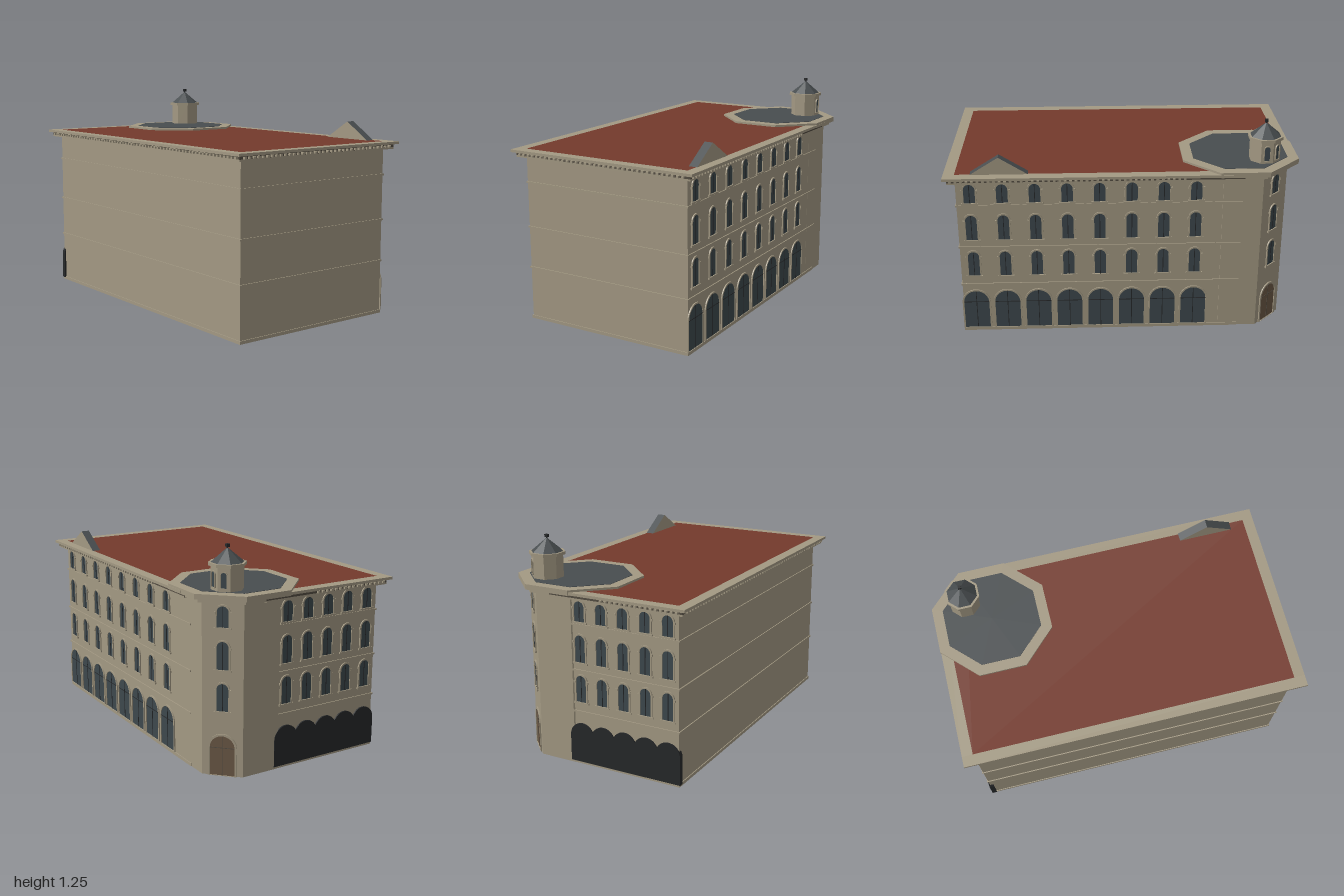
import * as THREE from 'three';

const material = (name, color, side = THREE.FrontSide) => {
  const m = new THREE.MeshStandardMaterial({ color, side });
  m.name = name;
  return m;
};

export function createModel() {
  const stone = material('stone', 0xa39983);
  const slate = material('slate', 0x484d4f);
  const redRoof = material('red roof', 0x743a2c);
  const glass = material('glass', 0x3d484d);
  const dark = material('dark opening', 0x26282a);
  const gap = material('frieze shade', 0x544d42);
  const wood = material('door wood', 0x6b5846);

  const root = new THREE.Group();
  root.name = 'cornerBuilding';
  const W = 0.935, D = 0.52;          // half width and half depth of the walls
  const TX = -0.67, TZ = -0.25;       // centre of the corner tower

  const add = (name, geo, mat, x = 0, y = 0, z = 0, parent = root) => {
    const m = new THREE.Mesh(geo, mat);
    m.name = name;
    m.position.set(x, y, z);
    parent.add(m);
    return m;
  };
  // box given by its limits
  const block = (name, mat, x0, x1, y0, y1, z0, z1, parent = root) =>
    add(name, new THREE.BoxGeometry(x1 - x0, y1 - y0, z1 - z0), mat,
      (x0 + x1) / 2, (y0 + y1) / 2, (z0 + z1) / 2, parent);
  // eight-sided drum with flat sides along the axes; sizes are to the flats
  const octagon = (name, mat, x, z, y0, y1, a0, a1 = a0, parent = root) => {
    const k = 1 / Math.cos(Math.PI / 8);
    const geo = new THREE.CylinderGeometry(a1 * k, a0 * k, y1 - y0, 8).toNonIndexed();
    geo.rotateY(Math.PI / 8);
    geo.computeVertexNormals();
    return add(name, geo, mat, x, (y0 + y1) / 2, z, parent);
  };

  // Open-bottomed shell of four thin walls
  const t = 0.01;
  block('frontWall', stone, -W, W, 0, 0.985, D - t, D);
  block('leftWall', stone, W - t, W, 0, 0.985, -D, D - t);
  block('backWall', stone, TX, W - t, 0, 0.985, -D, -D + t);
  block('rightWall', stone, -W, -W + t, 0, 0.985, TZ, D - t);

  // Horizontal moulding that follows the walls and stops at the tower
  const course = (name, mat, y0, y1, out) => {
    const g = new THREE.Group();
    g.name = name;
    root.add(g);
    block(name + 'Front', mat, -W - out, W + out, y0, y1, D, D + out, g);
    block(name + 'Left', mat, W, W + out, y0, y1, -D, D, g);
    block(name + 'Back', mat, TX, W + out, y0, y1, -D - out, -D, g);
    block(name + 'Right', mat, -W - out, -W, y0, y1, TZ, D, g);
  };
  course('plinth', stone, 0, 0.018, 0.005);
  for (const y of [0.31, 0.55, 0.81]) course('stringCourse', stone, y - 0.005, y + 0.005, 0.006);
  course('corniceBed', stone, 0.957, 0.967, 0.04);
  course('corniceFrieze', gap, 0.967, 0.985, 0.04);
  course('corniceSlab', stone, 0.985, 1.0, 0.062);

  // Rows of dentils under the cornice slab
  const spots = [];
  const step = 0.03;
  for (let x = -W; x <= W + 0.03; x += step) {
    spots.push([x, D + 0.046]);
    if (x > TX + 0.32) spots.push([x, -D - 0.046]);
  }
  for (let z = -D; z <= D + 0.03; z += step) {
    spots.push([W + 0.046, z]);
    if (z > TZ + 0.32) spots.push([-W - 0.046, z]);
  }
  const dentils = new THREE.InstancedMesh(new THREE.BoxGeometry(0.014, 0.012, 0.014), stone, 1);
  const dentilGeo = dentils.geometry;
  for (const [x, z] of spots) add('dentil', dentilGeo, stone, x, 0.974, z);

  // Flat red roof with its corner cut at the tower
  const roofShape = new THREE.Shape([
    [-W, -D], [W, -D], [W, D], [-0.78, D], [-W, 0.36],
  ].map(p => new THREE.Vector2(...p)));
  const roofGeo = new THREE.ExtrudeGeometry(roofShape, { depth: 0.014, bevelEnabled: false });
  roofGeo.rotateX(-Math.PI / 2);
  add('flatRoof', roofGeo, redRoof, 0, 0.986, 0);

  // Corner tower with cornice and slate top
  octagon('towerDrum', stone, TX, TZ, 0, 0.99, 0.271);
  octagon('towerBedMould', stone, TX, TZ, 0.962, 0.982, 0.305);
  octagon('towerCornice', stone, TX, TZ, 0.982, 1.012, 0.33);
  octagon('towerRoof', slate, TX, TZ, 1.008, 1.014, 0.27);

  // Lantern on the tower
  const LX = -0.802, LZ = -0.378;
  octagon('lanternDrum', stone, LX, LZ, 1.013, 1.145, 0.082);
  octagon('lanternCornice', stone, LX, LZ, 1.14, 1.157, 0.094);
  octagon('lanternRoof', slate, LX, LZ, 1.157, 1.228, 0.082, 0.004);
  add('finialStem', new THREE.CylinderGeometry(0.004, 0.004, 0.02, 8), dark, LX, 1.233, LZ);
  block('finialTop', dark, LX - 0.009, LX + 0.009, 1.234, 1.25, LZ - 0.009, LZ + 0.009);

  // Small gable on the back edge of the roof
  const triangle = new THREE.Shape([[-0.16, 0], [0.16, 0], [0, 0.1]].map(p => new THREE.Vector2(...p)));
  add('gable', new THREE.ExtrudeGeometry(triangle, { depth: 0.05, bevelEnabled: false }),
    [stone, slate], 0.69, 1.0, -0.526);

  // Round-headed outline standing on y = 0
  const arch = (w, h, Type = THREE.Shape, y0 = 0) => {
    const s = new Type();
    const r = w / 2;
    s.moveTo(-r, y0);
    s.lineTo(r, y0);
    s.lineTo(r, h - r);
    s.absarc(0, h - r, r, 0, Math.PI, false);
    s.lineTo(-r, y0);
    return s;
  };
  const extrude = (shape, depth) =>
    new THREE.ExtrudeGeometry(shape, { depth, bevelEnabled: false, curveSegments: 10 });
  // Arched opening: raised surround, thin pane, bars and sill; local +z is outward
  const opening = (name, w, h, pane, x, y, z, angle, opts = {}) => {
    const g = new THREE.Group();
    g.name = name;
    g.position.set(x, y, z);
    g.rotation.y = angle;
    root.add(g);
    const rim = opts.rim ?? 0.009;
    const frame = arch(w, h);
    frame.holes.push(arch(w - 2 * rim, h - rim, THREE.Path, 0.002));
    add('surround', extrude(frame, 0.007), opts.frame ?? stone, 0, 0, 0, g);
    add('pane', extrude(arch(w - 2 * rim, h - rim), 0.002), pane, 0, 0, 0, g);
    if (opts.bar) block('mullion', opts.bar, -0.002, 0.002, 0, h - rim, 0, 0.004, g);
    if (opts.transom) block('transom', opts.bar, -w / 2 + rim, w / 2 - rim, h - w / 2 - 0.002, h - w / 2 + 0.002, 0, 0.004, g);
    if (opts.sill) {
      block('sill', stone, -w / 2 - 0.006, w / 2 + 0.006, -0.008, 0.002, 0, 0.009, g);
      for (const s of [-1, 1]) {
        block('impost', stone, s * w / 2 - 0.005, s * w / 2 + 0.005, h - w / 2 - 0.012, h - w / 2, 0, 0.009, g);
      }
    }
    return g;
  };

  const rows = [[0.365, 0.165], [0.595, 0.165], [0.825, 0.125]];   // sill height, window height
  const BACK = Math.PI, SIDE = -Math.PI / 2, CORNER = -Math.PI * 3 / 4;
  const win = { bar: dark, sill: true };

  // Back front: eight bays of windows over shop arches
  for (let i = 0; i < 8; i++) {
    const x = 0.86 - i * 0.181;
    for (const [y, h] of rows) opening('backWindow', 0.082, h, glass, x, y, -D, BACK, win);
    opening('backShopArch', 0.164, 0.255, glass, x, 0.018, -D, BACK, { bar: dark, transom: true });
  }
  // Right front: five narrow bays over a dark arcade
  for (let i = 0; i < 5; i++) {
    const z = -0.085 + i * 0.135;
    for (const [y, h] of rows) opening('sideWindow', 0.082, h, glass, -W, y, z, SIDE, win);
    const bay = add('arcadeArch', extrude(arch(0.15, 0.23), 0.028), dark, -W + 0.02, 0.012, z);
    bay.rotation.y = SIDE;
  }
  // Chamfered corner: three windows over the door
  const cx = TX - 0.2715 * Math.SQRT1_2, cz = TZ - 0.2715 * Math.SQRT1_2;
  for (const [y, h] of rows) opening('towerWindow', 0.082, h, glass, cx, y, cz, CORNER, win);
  opening('cornerDoor', 0.16, 0.24, wood, cx, 0, cz, CORNER, { rim: 0.012, bar: gap, transom: true });

  // Arched openings around the lantern
  for (let i = 0; i < 8; i++) {
    const a = i * Math.PI / 4;
    opening('lanternOpening', 0.04, 0.09, glass, LX + Math.sin(a) * 0.082, 1.03, LZ + Math.cos(a) * 0.082, a, { rim: 0.005 })
      .visible = Math.sin(a) < 0.1 && Math.cos(a) < -0.1;
  }
  return root;
}
